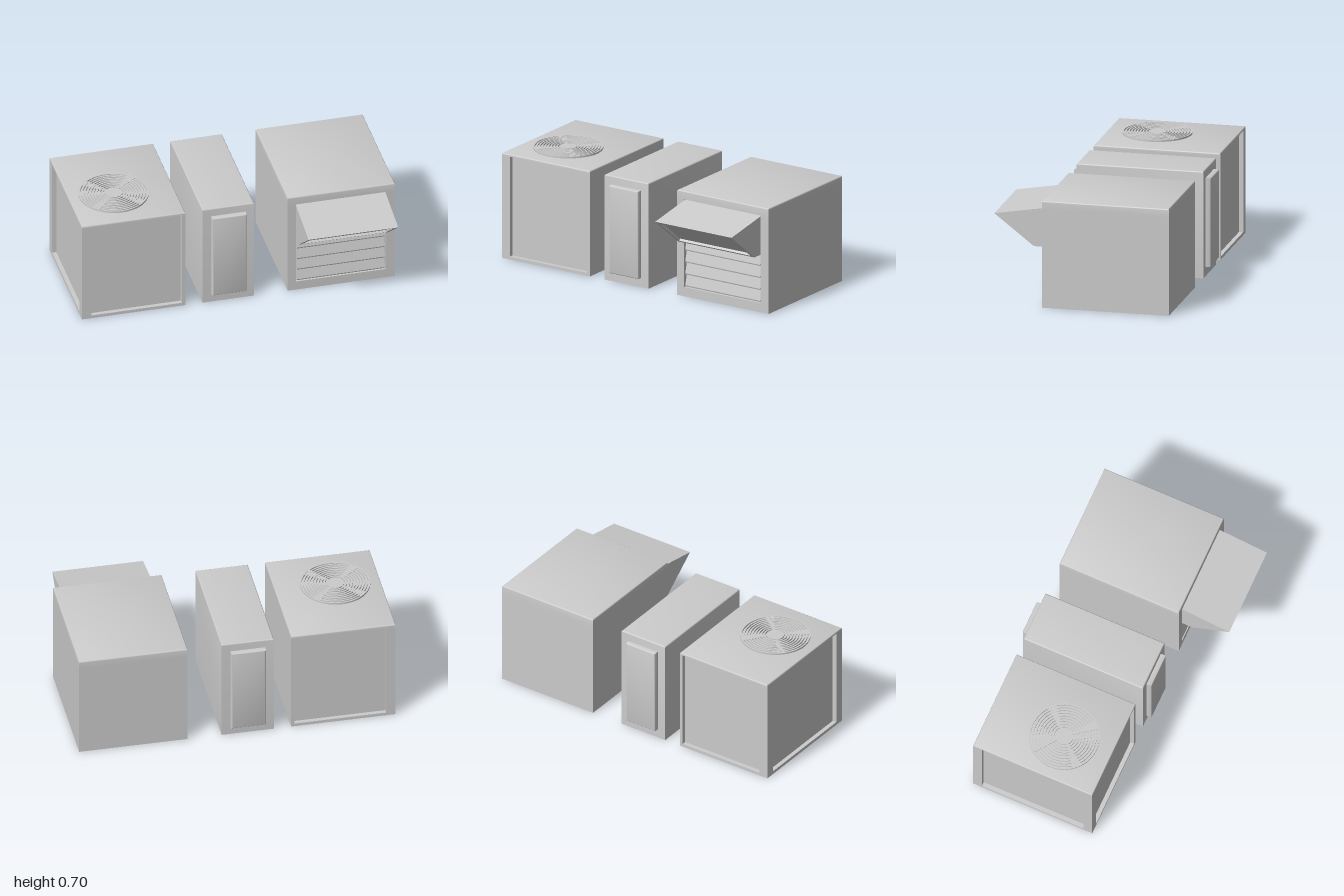
import * as THREE from 'three';
import { toCreasedNormals } from 'three/addons/utils/BufferGeometryUtils.js';

const H = 0.685, ZB = -0.545, ZF = 0.263, DEPTH = 0.027;
const grey = new THREE.MeshStandardMaterial({ color: 0xcccccc });

function add(parent, name, geometry) {
  const mesh = new THREE.Mesh(geometry, grey);
  mesh.name = name;
  parent.add(mesh);
  return mesh;
}

// Box given by its limits
function block(parent, name, x0, x1, y0, y1, z0, z1) {
  const g = new THREE.BoxGeometry(x1 - x0, y1 - y0, z1 - z0);
  g.translate((x0 + x1) / 2, (y0 + y1) / 2, (z0 + z1) / 2);
  return add(parent, name, g);
}

// Square-cornered block standing on y = 0 whose top edges are rounded
function roundedTop(w, h, d, r) {
  const profile = [[0, 0], [0, 0]].map(() => new THREE.Vector2(0, 0)).slice(1);
  const put = (inset, y) => profile.push(new THREE.Vector2(Math.SQRT2 * (1 - inset), y));
  put(0, 0);
  for (let i = 0; i <= 4; i++) {
    const a = (i / 4) * Math.PI / 2;
    put(r * (1 - Math.cos(a)), h - r + r * Math.sin(a));
  }
  profile.push(new THREE.Vector2(0, h));
  const g = new THREE.LatheGeometry(profile, 4, Math.PI / 4);
  const p = g.attributes.position;
  for (let i = 0; i < p.count; i++) {
    const x = p.getX(i), z = p.getZ(i);
    if (Math.hypot(x, z) < 0.1) continue;
    p.setX(i, Math.sign(x) * (w / 2 - 1 + Math.abs(x)));
    p.setZ(i, Math.sign(z) * (d / 2 - 1 + Math.abs(z)));
  }
  return toCreasedNormals(g, 0.6);
}

// Side profile of [z, y] points, extruded from x0 to x1
function prism(parent, name, points, x0, x1) {
  const shape = new THREE.Shape(points.map(([z, y]) => new THREE.Vector2(-z, y)));
  const g = new THREE.ExtrudeGeometry(shape, { depth: x1 - x0, bevelEnabled: false });
  g.rotateY(Math.PI / 2).translate(x0, 0, 0);
  return add(parent, name, g);
}

function lid(parent, x0, x1, y0) {
  add(parent, 'lid', roundedTop(x1 - x0, H - y0, ZF - ZB, 0.008))
    .position.set((x0 + x1) / 2, y0, (ZF + ZB) / 2);
}

// Cabinet with recessed panels and a round grille on its roof
function fanUnit() {
  const unit = new THREE.Group();
  unit.name = 'fanUnit';
  const x0 = -1, x1 = -0.34, low = 0.02, high = 0.67;
  block(unit, 'recessedPanels', x0 + DEPTH, x1, low, high, ZB + DEPTH, ZF - DEPTH);
  block(unit, 'plinth', x0, x1, 0, low, ZB, ZF);
  for (const [z0, z1] of [[ZB, ZB + 0.06], [ZF - 0.06, ZF]]) {
    block(unit, 'outerPost', x0, x0 + 0.06, low, high, z0, z1);
    block(unit, 'innerPost', x1 - 0.022, x1, low, high, z0, z1);
  }
  lid(unit, x0, x1, high);

  // Grille: hub, rings and four wedge spokes
  const grille = new THREE.Group();
  grille.name = 'fanGrille';
  grille.position.set(-0.718, H, -0.052);
  unit.add(grille);
  const t = 0.011, outer = 0.218, hub = 0.055, rings = 9;
  add(grille, 'hub', new THREE.CylinderGeometry(hub, hub, t, 48)).position.y = t / 2;
  const pitch = (outer - hub) / rings;
  for (let i = 1; i <= rings; i++) {
    const r = hub + i * pitch, a = r - pitch * 0.55;
    const section = [[a, 0], [r, 0], [r, t], [a, t], [a, 0]].map(([x, y]) => new THREE.Vector2(x, y));
    add(grille, 'ring', toCreasedNormals(new THREE.LatheGeometry(section, 64), 0.6));
  }
  for (let i = 0; i < 4; i++) {
    const mid = Math.PI / 4 + i * Math.PI / 2, half = 0.13;
    const wedge = new THREE.Shape();
    wedge.absarc(0, 0, outer - 0.005, mid - half, mid + half, false);
    wedge.absarc(0, 0, hub - 0.005, mid + half, mid - half, true);
    const g = new THREE.ExtrudeGeometry(wedge, { depth: t - 0.001, bevelEnabled: false, curveSegments: 8 });
    add(grille, 'spoke', g.rotateX(-Math.PI / 2));
  }
  return unit;
}

// Narrow cabinet with a raised panel on the front and back
function middleUnit() {
  const unit = new THREE.Group();
  unit.name = 'middleUnit';
  lid(unit, -0.23, 0.1, 0);
  unit.children[0].name = 'cabinet';
  for (const s of [1, -1]) {
    const panel = add(unit, s > 0 ? 'frontPanel' : 'backPanel', roundedTop(0.22, 0.034, 0.57, 0.01));
    panel.rotation.x = s * Math.PI / 2;
    panel.position.set(-0.065, 0.345, s > 0 ? ZF : ZB);
  }
  return unit;
}

// Cabinet with a recessed front holding louvres and an intake hood
function hoodUnit() {
  const unit = new THREE.Group();
  unit.name = 'hoodUnit';
  const x0 = 0.315, x1 = 1, a = 0.367, b = 0.94, low = 0.06, high = 0.63, zr = ZF - DEPTH;
  block(unit, 'cabinet', x0, x1, 0, high, ZB, zr);
  block(unit, 'bottomRail', x0, x1, 0, low, zr, ZF);
  block(unit, 'rightPost', x0, a, low, high, zr, ZF);
  block(unit, 'leftPost', b, x1, low, high, zr, ZF);
  lid(unit, x0, x1, high);

  // Sloping louvres
  for (let i = 0; i < 4; i++) {
    const y = low + 0.004 + i * 0.078;
    prism(unit, 'louvre', [[zr, y + 0.012], [0.256, y], [0.259, y + 0.008], [0.243, y + 0.072], [zr, y + 0.072]],
      a + 0.006, b - 0.006);
  }

  // Hood: full-profile cheeks, and a middle whose intake face is set in
  const back = [zr, 0.629], foot = [zr, 0.375], toe = [0.33, 0.375], tip = [0.582, 0.57];
  const cheek = [foot, toe, tip, back];
  const middle = [foot, toe, [0.346, 0.387], [0.337, 0.399], [0.547, 0.564], [0.556, 0.551], tip, back];
  prism(unit, 'hoodCheek', cheek, a, a + 0.02);
  prism(unit, 'hoodCheek', cheek, b - 0.02, b);
  prism(unit, 'hood', middle, a + 0.02, b - 0.02);
  return unit;
}

export function createModel() {
  const model = new THREE.Group();
  model.name = 'rooftopUnits';
  model.add(fanUnit(), middleUnit(), hoodUnit());
  return model;
}
